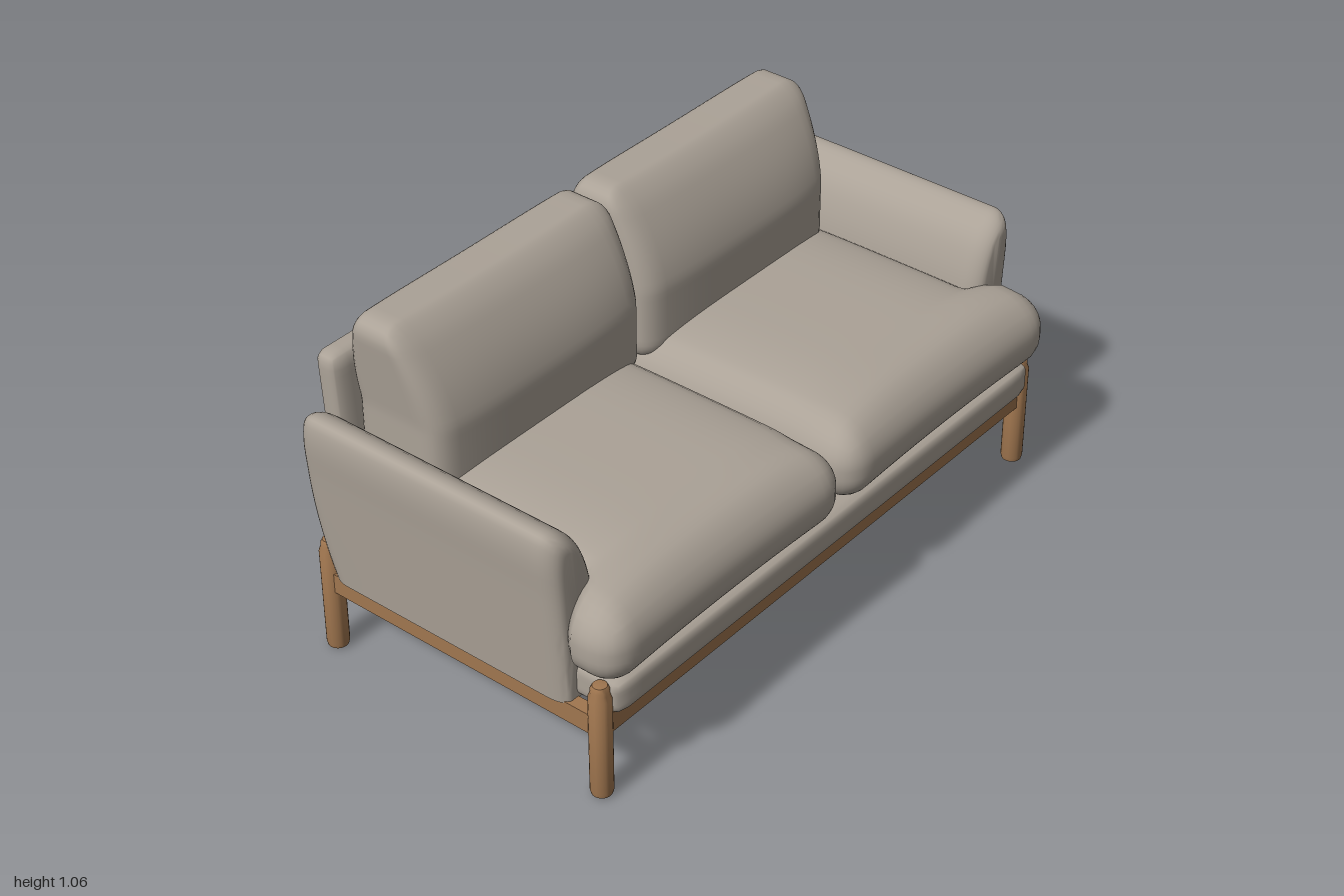
import * as THREE from 'three';
import { mergeVertices, toCreasedNormals } from 'three/addons/utils/BufferGeometryUtils.js';

const { clamp } = THREE.MathUtils;

// Box with rounded edges; deform(v) then reshapes each vertex in model space
function softBox(min, max, r, segs, deform) {
  const lo = new THREE.Vector3(...min), hi = new THREE.Vector3(...max);
  const size = hi.clone().sub(lo), mid = lo.clone().add(hi).multiplyScalar(0.5);
  let geo = new THREE.BoxGeometry(size.x, size.y, size.z, ...segs);
  geo.deleteAttribute('uv');
  geo.deleteAttribute('normal');
  geo = mergeVertices(geo);
  const inner = size.clone().multiplyScalar(0.5).subScalar(r);
  const pos = geo.attributes.position, v = new THREE.Vector3(), core = new THREE.Vector3();
  for (let i = 0; i < pos.count; i++) {
    v.fromBufferAttribute(pos, i);
    core.copy(v).clamp(inner.clone().negate(), inner);
    v.sub(core).setLength(r).add(core).add(mid);
    if (deform) deform(v);
    pos.setXYZ(i, v.x, v.y, v.z);
  }
  geo.computeVertexNormals();
  return geo;
}

// Skin a list of closed rings, capped at both ends
function loft(rings) {
  const n = rings[0].length, verts = rings.flat(), index = [];
  for (let j = 0; j < rings.length - 1; j++) {
    for (let i = 0; i < n; i++) {
      const k = (i + 1) % n, a = j * n + i, b = j * n + k;
      index.push(a, b, b + n, a, b + n, a + n);
    }
  }
  [rings[0], rings[rings.length - 1]].forEach((ring, end) => {
    const c = ring.reduce((s, p) => s.add(p), new THREE.Vector3()).divideScalar(n);
    const ci = verts.push(c) - 1, base = end * (rings.length - 1) * n;
    for (let i = 0; i < n; i++) {
      const a = base + i, b = base + (i + 1) % n;
      if (end) index.push(ci, a, b); else index.push(ci, b, a);
    }
  });
  const geo = new THREE.BufferGeometry().setFromPoints(verts);
  geo.setIndex(index);
  return geo;
}

// Copy reflected in x with the face order put right
function mirrorX(geo) {
  const out = geo.clone(), idx = out.index.array;
  const pos = out.attributes.position;
  for (let i = 0; i < pos.count; i++) pos.setX(i, -pos.getX(i));
  for (let i = 0; i < idx.length; i += 3) [idx[i], idx[i + 1]] = [idx[i + 1], idx[i]];
  out.computeVertexNormals();
  return out;
}

function armGeometry() {
  // Cross-section: outer side up, over the rounded top, down the inner side
  const section = new THREE.CatmullRomCurve3([
    [0.965, 0.26], [0.977, 0.42], [0.99, 0.6], [0.999, 0.74], [0.985, 0.79], [0.945, 0.79],
    [0.885, 0.74], [0.845, 0.65], [0.825, 0.54], [0.82, 0.42], [0.82, 0.26],
  ].map(([x, y]) => new THREE.Vector3(x, y, 0))).getPoints(40);
  const back = -0.497, front = 0.385, r = 0.06, steps = 7;
  const stations = [];
  for (let i = 0; i <= steps; i++) {
    const t = (i / steps) * Math.PI / 2;
    stations.push([back + r * (1 - Math.cos(t)), r * (1 - Math.sin(t))]);
  }
  for (let i = 1; i < 8; i++) stations.push([back + r + (front - back - 2 * r) * i / 8, 0]);
  for (let i = steps; i >= 0; i--) {
    const t = (i / steps) * Math.PI / 2;
    stations.push([front - r * (1 - Math.cos(t)), r * (1 - Math.sin(t))]);
  }
  return loft(stations.map(([z, inset]) => section.map((p) => {
    const y = 0.26 + (p.y - 0.26) * (1 - inset / 0.54);
    const x = 0.905 + (p.x - 0.905) * (1 - inset / 0.13);
    const low = clamp(1 - (y - 0.26) / 0.36, 0, 1);
    const backness = clamp(-z / 0.5, 0, 1);
    return new THREE.Vector3(x, y, z + 0.06 * low * low * backness);
  })));
}

// Seat cushion: crowned top, wider in front of the arm
function seatGeometry() {
  return softBox([0.002, 0.37, -0.36], [0.975, 0.585, 0.56], 0.095, [36, 14, 32], (v) => {
    const u = (v.x - 0.488) / 0.488, w = (v.z - 0.1) / 0.46;
    const crown = (1 - u ** 4) * (1 - w ** 4);
    if (v.y > 0.5) v.y += 0.055 * crown * (v.y - 0.5) / 0.085;
    if (v.z > 0.3) v.z -= 0.012 * (1 - u * u);
    v.x *= 1 - 0.1 * clamp((0.4 - v.z) / 0.05, 0, 1);
  });
}

// Back cushion: full at the bottom, narrowing and leaning back at the top
function backCushionGeometry() {
  return softBox([0.002, 0.55, -0.455], [0.862, 1.06, -0.145], 0.06, [32, 28, 16], (v) => {
    const t = clamp((v.y - 0.78) / 0.28, 0, 1);
    const u = (v.x - 0.43) / 0.43;
    const z = (v.z + 0.3) * (0.94 + 0.16 * (1 - u ** 4)) * (1 - 0.55 * t * t);
    v.z = z - 0.3 - 0.045 * t;
    v.x -= 0.03 * Math.max(0, u) * (1 - t);
    v.y -= 0.006 * (1 - u * u) * t;
  });
}

export function createModel() {
  const group = new THREE.Group();
  group.name = 'sofa';
  const fabric = new THREE.MeshStandardMaterial({ color: 0xaba297 });
  fabric.name = 'greige fabric';
  const wood = new THREE.MeshStandardMaterial({ color: 0xa0764f });
  wood.name = 'oak wood';

  const add = (name, geo, mat, x = 0, y = 0, z = 0) => {
    const mesh = new THREE.Mesh(geo, mat);
    mesh.name = name;
    mesh.position.set(x, y, z);
    group.add(mesh);
    return mesh;
  };

  // Wooden frame rails
  for (const [name, z] of [['frontRail', 0.475], ['backRail', -0.47]]) {
    add(name, new THREE.BoxGeometry(1.87, 0.062, 0.04), wood, 0, 0.234, z);
  }
  for (const [name, x] of [['leftRail', 0.935], ['rightRail', -0.935]]) {
    add(name, new THREE.BoxGeometry(0.04, 0.062, 0.945), wood, x, 0.234, 0.0025);
  }

  // Round legs with softened ends
  const profile = [[0, 0], [0.02, 0], [0.029, 0.006], [0.032, 0.018], [0.032, 0.325],
    [0.026, 0.34], [0.026, 0.352], [0.02, 0.364], [0, 0.368]];
  const legGeo = toCreasedNormals(
    new THREE.LatheGeometry(profile.map(([x, y]) => new THREE.Vector2(x, y)), 24), 0.7);
  for (const [side, x] of [['left', 0.935], ['right', -0.935]]) {
    add(side + 'FrontLeg', legGeo, wood, x, 0, 0.475);
    add(side + 'BackLeg', legGeo, wood, x, 0, -0.47);
  }

  // Upholstered base and backrest panel
  add('base', softBox([-0.92, 0.263, -0.46], [0.92, 0.372, 0.525], 0.03, [40, 10, 40]), fabric);
  add('backrest', softBox([-0.86, 0.265, -0.555], [0.86, 0.892, -0.475], 0.032, [60, 30, 10],
    (v) => { v.z -= 0.07 * (v.y - 0.8); }), fabric);

  // Arms and cushions, mirrored left to right
  const arm = armGeometry();
  add('leftArm', toCreasedNormals(arm, 0.8), fabric);
  add('rightArm', toCreasedNormals(mirrorX(arm), 0.8), fabric);
  for (const [name, geo] of [['SeatCushion', seatGeometry()], ['BackCushion', backCushionGeometry()]]) {
    add('left' + name, geo, fabric);
    add('right' + name, mirrorX(geo), fabric);
  }
  return group;
}
